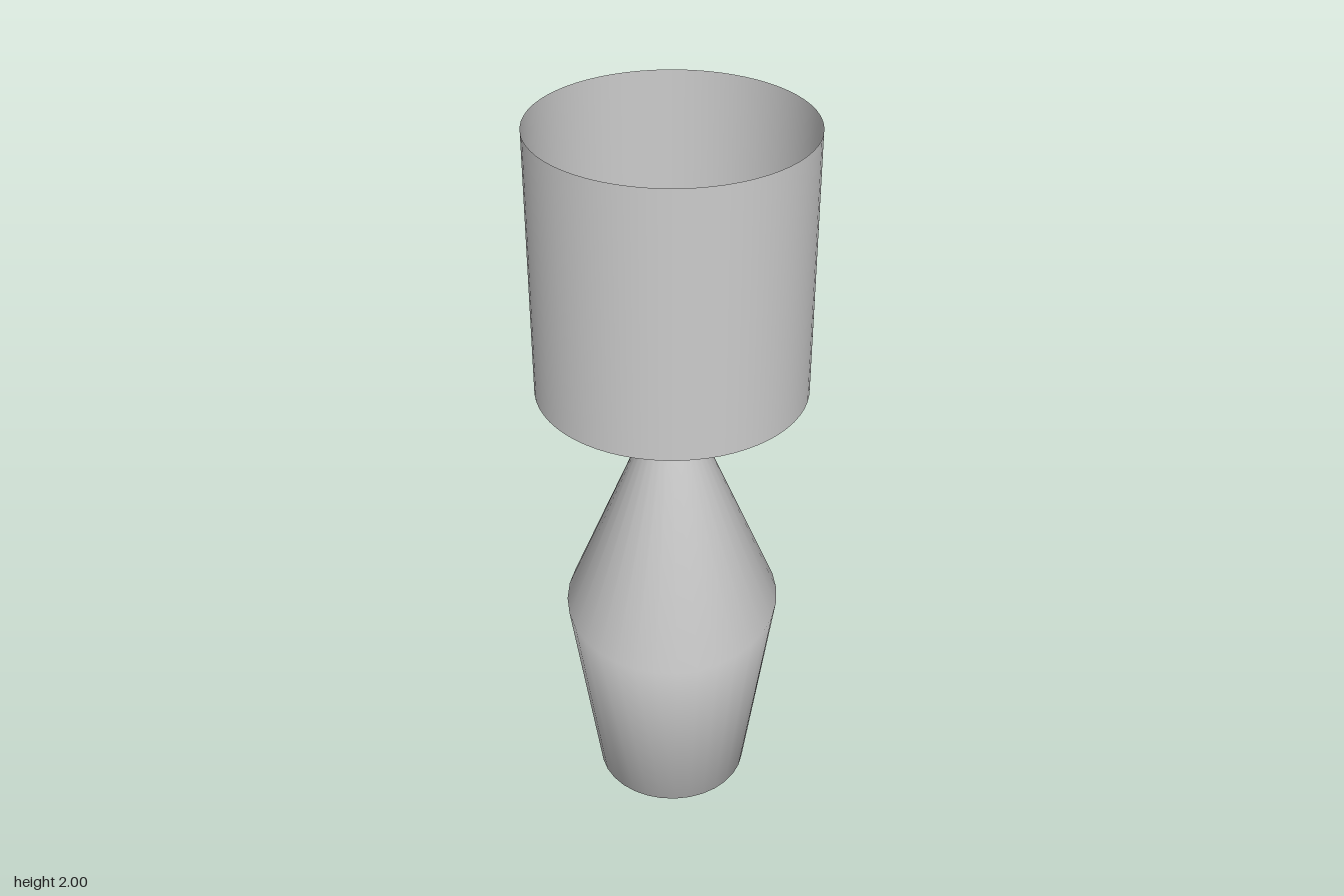
import * as THREE from 'three';

export function createModel() {
  const lamp = new THREE.Group();
  lamp.name = 'tableLamp';
  const material = new THREE.MeshStandardMaterial({ color: 0xcccccc, side: THREE.DoubleSide });

  // Body: closed foot, flared vase, tapered shoulder and thin stem
  const shoulderY = 0.6;
  const profile = [
    [0, 0], [0.212, 0], [0.295, shoulderY], [0.056, 1.19], [0.056, 1.44], [0, 1.44],
  ].map(([r, y]) => new THREE.Vector2(r, y));
  const bodyGeometry = new THREE.LatheGeometry(profile, 32);

  // Tilt the widest ring so that it rises towards the back
  const pos = bodyGeometry.attributes.position;
  for (let i = 0; i < pos.count; i++) {
    if (Math.abs(pos.getY(i) - shoulderY) < 0.01) {
      pos.setY(i, shoulderY - 0.14 * pos.getZ(i) - 0.025 * pos.getX(i));
    }
  }
  const body = new THREE.Mesh(bodyGeometry, material);
  body.name = 'body';
  lamp.add(body);

  // Shade: thin drum, open at both ends
  const shade = new THREE.Mesh(new THREE.CylinderGeometry(0.356, 0.356, 0.71, 64, 1, true), material);
  shade.name = 'shade';
  shade.position.y = 1.645;
  lamp.add(shade);

  return lamp;
}
